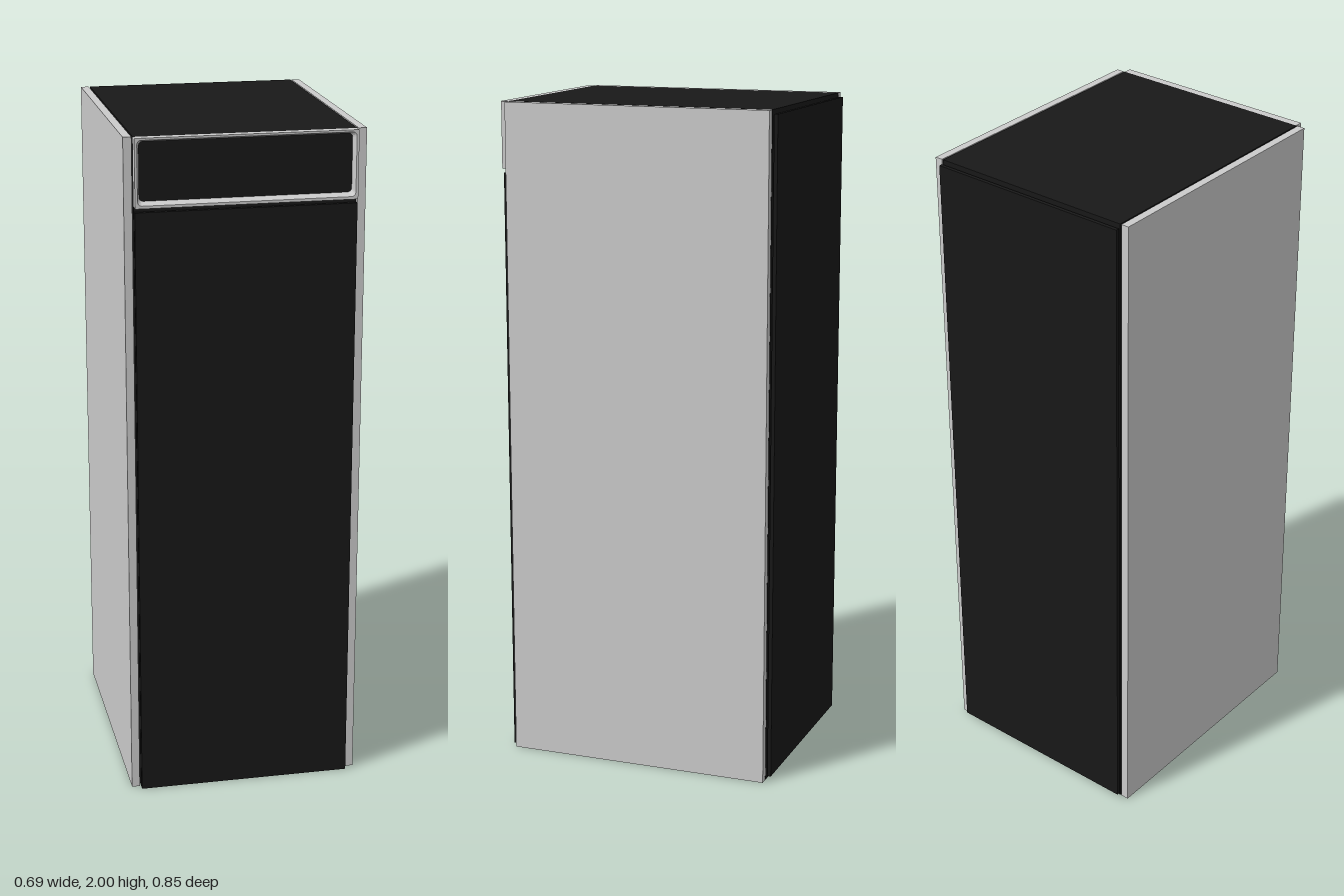
import * as THREE from 'three';

const grey = new THREE.MeshStandardMaterial({ color: 0xcccccc, flatShading: true });
const black = new THREE.MeshStandardMaterial({ color: 0x181818, flatShading: true });

// Box given by its minimum and maximum on each axis
function panel(name, material, [x0, x1], [y0, y1], [z0, z1]) {
  const mesh = new THREE.Mesh(new THREE.BoxGeometry(x1 - x0, y1 - y0, z1 - z0), material);
  mesh.position.set((x0 + x1) / 2, (y0 + y1) / 2, (z0 + z1) / 2);
  mesh.name = name;
  return mesh;
}

// Rounded rectangle loop, counter-clockwise seen from the front
function loop(halfW, y0, y1, r, z, steps = 4) {
  const points = [];
  const corners = [[1, y1 - r], [-1, y1 - r], [-1, y0 + r], [1, y0 + r]];
  corners.forEach(([sx, cy], c) => {
    for (let i = 0; i <= steps; i++) {
      const a = (c + i / steps) * Math.PI / 2;
      points.push([sx * (halfW - r) + r * Math.cos(a), cy + r * Math.sin(a), z]);
    }
  });
  return points;
}

// Ring surface skinned through a closed series of loops
function ring(loops) {
  const n = loops[0].length;
  const index = [];
  loops.forEach((_, k) => {
    const next = (k + 1) % loops.length;
    for (let i = 0; i < n; i++) {
      const j = (i + 1) % n;
      const a = k * n + i, b = k * n + j, c = next * n + j, d = next * n + i;
      index.push(a, b, c, a, c, d);
    }
  });
  const geometry = new THREE.BufferGeometry();
  geometry.setAttribute('position', new THREE.Float32BufferAttribute(loops.flat(2), 3));
  geometry.setIndex(index);
  const flat = geometry.toNonIndexed();
  flat.computeVertexNormals();
  return flat;
}

export function createModel() {
  const model = new THREE.Group();
  model.name = 'cabinet';
  const width = [-0.319, 0.319];
  const depth = [-0.41, 0.402];

  // Main body and its thin outer panels
  model.add(panel('body', black, width, [0, 2], depth));
  model.add(panel('leftSidePanel', grey, [0.323, 0.347], [0, 2], depth));
  model.add(panel('rightSidePanel', grey, [-0.347, -0.323], [0, 2], depth));
  model.add(panel('backPanel', black, width, [0.012, 1.988], [-0.426, -0.415]));
  model.add(panel('frontDoor', black, width, [0, 1.79], [0.408, 0.421]));

  // Frame at the top of the front, with a sloped rounded opening
  const frame = new THREE.Mesh(ring([
    loop(0.319, 1.802, 2, 0.002, 0.402),
    loop(0.319, 1.802, 2, 0.002, 0.426),
    loop(0.312, 1.81, 1.994, 0.012, 0.426),
    loop(0.304, 1.82, 1.987, 0.012, 0.404),
  ]), grey);
  frame.name = 'displayFrame';
  model.add(frame);

  // Dark display set into the frame
  model.add(panel('display', black, [-0.306, 0.306], [1.817, 1.989], [0.4, 0.406]));

  return model;
}
